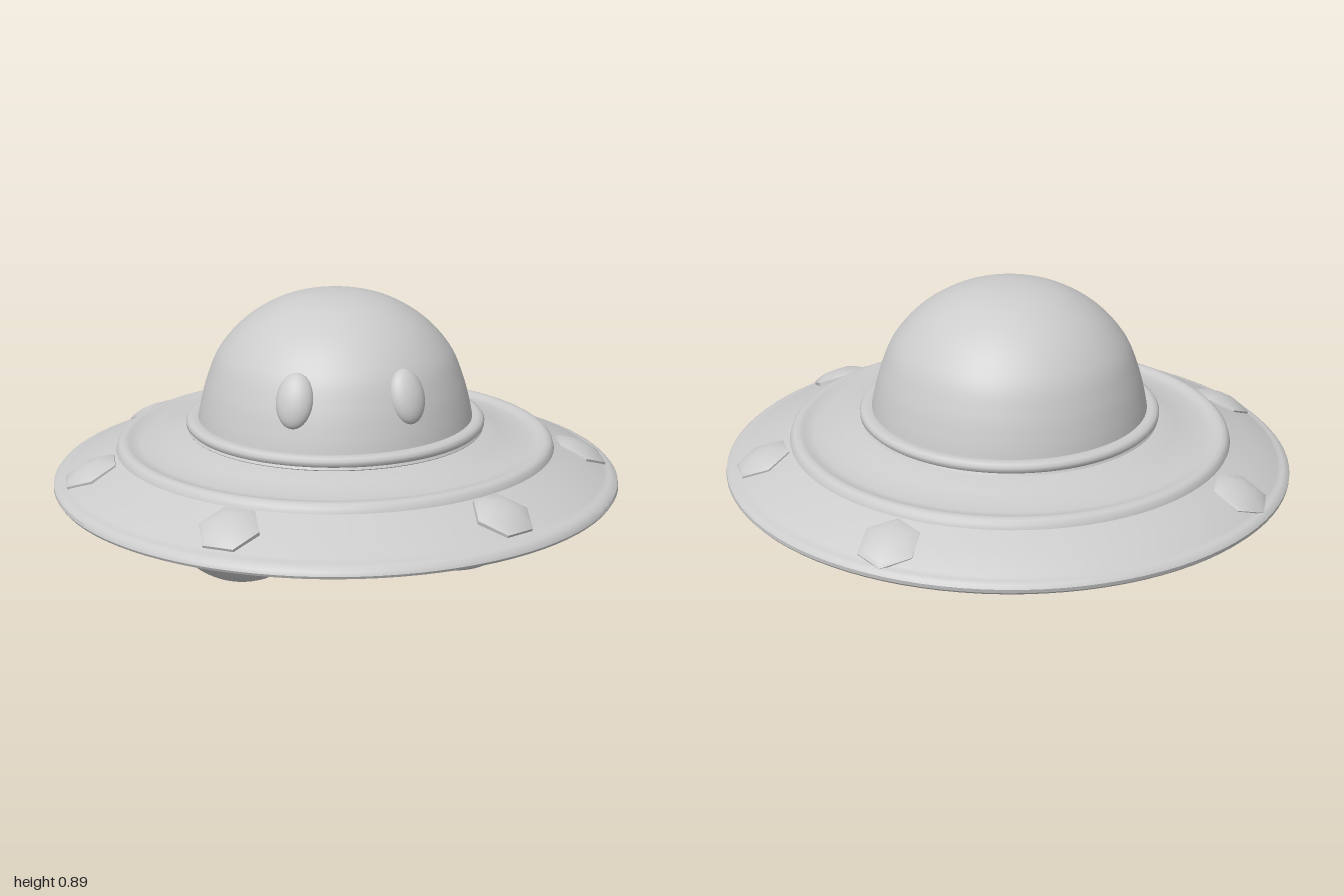
import * as THREE from 'three';
import { toCreasedNormals } from 'three/addons/utils/BufferGeometryUtils.js';

const grey = new THREE.MeshStandardMaterial({ color: 0xcccccc });

function part(name, geometry, parent) {
  const mesh = new THREE.Mesh(geometry, grey);
  mesh.name = name;
  parent.add(mesh);
  return mesh;
}

const points = (list) => list.map(([r, y]) => new THREE.Vector2(r, y));

export function createModel() {
  const group = new THREE.Group();
  group.name = 'saucer';

  // Everything above the landing pods leans back very slightly
  const body = new THREE.Group();
  body.name = 'body';
  const tilt = 0.02, pivot = 0.24;
  body.rotation.x = -tilt;
  body.position.set(0, pivot - pivot * Math.cos(tilt), pivot * Math.sin(tilt));
  group.add(body);

  // Disc: recessed floor, lower lip, rim, sloped deck, stepped ridge
  const disc = new THREE.LatheGeometry(points([
    [0, 0.212], [0.835, 0.212], [0.85, 0.198], [0.865, 0.191], [0.89, 0.19], [0.903, 0.196],
    [0.907, 0.208], [0.912, 0.221], [0.975, 0.217], [0.99, 0.219], [0.997, 0.228],
    [0.996, 0.241], [0.985, 0.253], [0.97, 0.259], [0.958, 0.26], [0.95, 0.265],
    [0.86, 0.307], [0.775, 0.343], [0.77, 0.36], [0.76, 0.37], [0.745, 0.374], [0.73, 0.371],
    [0.715, 0.364], [0.69, 0.363], [0.64, 0.37], [0.58, 0.384], [0.52, 0.408], [0.45, 0.41], [0, 0.41],
  ]), 96);
  // The layers step back a little as they rise
  const pos = disc.attributes.position;
  for (let i = 0; i < pos.count; i++) {
    const shift = THREE.MathUtils.clamp((0.235 - pos.getY(i)) * 0.3, -0.02, 0.02);
    pos.setZ(i, pos.getZ(i) + shift);
  }
  part('disc', toCreasedNormals(disc, 0.6), body);

  // Collar around the dome
  const collar = new THREE.LatheGeometry(points([
    [0.44, 0.395], [0.515, 0.398], [0.522, 0.408], [0.518, 0.416], [0.526, 0.424],
    [0.527, 0.437], [0.52, 0.447], [0.505, 0.452], [0.485, 0.449], [0.45, 0.445],
  ]), 96);
  part('collar', toCreasedNormals(collar, 0.9), body).position.z = -0.012;

  // Dome
  const curve = new THREE.SplineCurve(points([
    [0.487, 0.43], [0.474, 0.5], [0.449, 0.59], [0.405, 0.69],
    [0.32, 0.785], [0.21, 0.853], [0.1, 0.885], [0, 0.892],
  ]));
  const profile = curve.getPoints(40);
  profile[40].x = 0;
  part('dome', new THREE.LatheGeometry(profile, 80), body).position.z = -0.012;

  // Oval eyes on the front of the dome
  for (const side of [-1, 1]) {
    const eye = part(side > 0 ? 'leftEye' : 'rightEye', new THREE.SphereGeometry(1, 32, 24), body);
    eye.scale.set(0.064, 0.094, 0.042);
    eye.position.set(side * 0.188, 0.614, 0.38);
    eye.rotation.set(-0.35, side * 0.42, 0, 'YXZ');
  }

  // Six-sided domed lamps resting on the sloped deck: x, z, direction of one corner
  const lampShape = new THREE.LatheGeometry(points([
    [0.104, -0.03], [0.106, 0.006], [0.09, 0.016], [0.05, 0.028], [0, 0.032],
  ]), 6);
  const slope = 0.41;
  for (const [x, z, spin] of [[0.865, 0.085, Math.PI / 2], [0.44, 0.735, 0], [0.605, -0.645, Math.PI / 2]]) {
    for (const side of [-1, 1]) {
      const lamp = part('lamp', toCreasedNormals(lampShape, 0.75), body);
      const r = Math.hypot(x, z);
      lamp.position.set(side * x, 0.265 + (0.95 - r) * 0.44, z);
      const outward = new THREE.Vector3(side * x / r, 0, z / r);
      const normal = outward.clone().multiplyScalar(Math.sin(slope)).setY(Math.cos(slope));
      const up = new THREE.Vector3(0, 1, 0);
      lamp.quaternion.setFromUnitVectors(up, normal);
      // side lamps have a corner along z, rear lamps along x
      lamp.rotateY(z < 0 ? spin - side * 0.06 : 0);
    }
  }

  // Four half-round landing pods
  const podShape = new THREE.SphereGeometry(0.268, 48, 20, 0, Math.PI * 2, Math.PI / 2, Math.PI / 2);
  for (const x of [-0.365, 0.365]) {
    for (const z of [-0.362, 0.352]) {
      part('landingPod', podShape, group).position.set(x, 0.268, z);
    }
  }
  return group;
}
